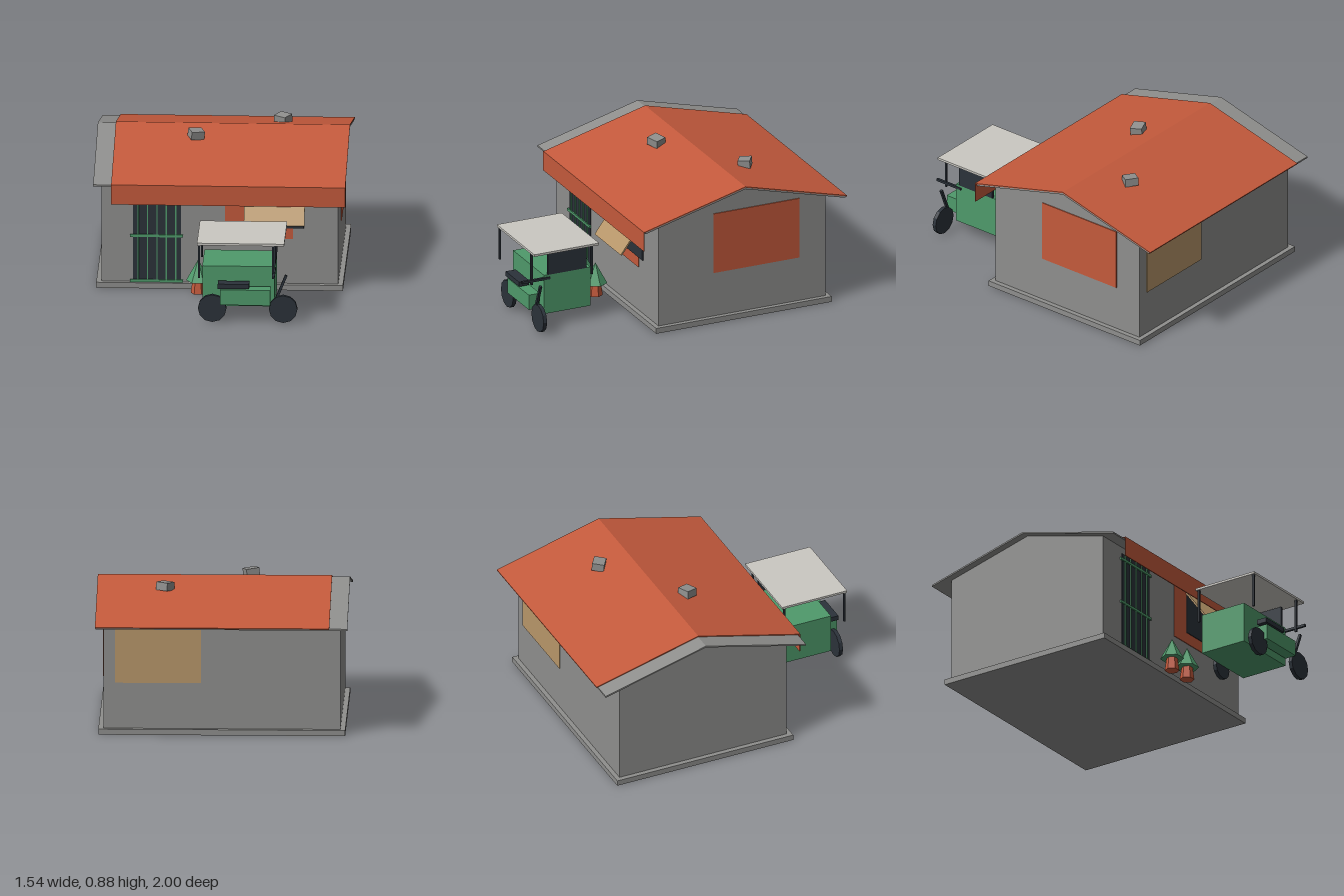
import * as THREE from 'three';

const mat = (name, color) => {
  const m = new THREE.MeshStandardMaterial({ color });
  m.name = name;
  return m;
};

export function createModel() {
  const root = new THREE.Group();
  root.name = 'houseWithCart';
  const grey = mat('concreteGrey', 0x8f8f8d);
  const red = mat('terracottaRed', 0xc45a3c);
  const green = mat('leafGreen', 0x4f9a6b);
  const dark = mat('darkSlate', 0x2b323a);
  const tan = mat('woodTan', 0xb8976a);
  const pale = mat('paleCanvas', 0xcac8c2);

  const add = (parent, name, geo, material) => {
    const mesh = new THREE.Mesh(geo, material);
    mesh.name = name;
    parent.add(mesh);
    return mesh;
  };
  // Box given by its extents on each axis
  const box = (parent, name, material, [x0, x1], [y0, y1], [z0, z1]) => {
    const mesh = add(parent, name, new THREE.BoxGeometry(x1 - x0, y1 - y0, z1 - z0), material);
    mesh.position.set((x0 + x1) / 2, (y0 + y1) / 2, (z0 + z1) / 2);
    return mesh;
  };
  // Outline of [z, y] points swept along x
  const sweepX = (parent, name, material, pts, x0, x1) => {
    const shape = new THREE.Shape(pts.map(([z, y]) => new THREE.Vector2(-z, y)));
    const geo = new THREE.ExtrudeGeometry(shape, { depth: x1 - x0, bevelEnabled: false });
    geo.rotateY(Math.PI / 2).translate(x0, 0, 0);
    return add(parent, name, geo, material);
  };
  // Faceted cylinder
  const facet = (rTop, rBottom, h, sides) => {
    const geo = new THREE.CylinderGeometry(rTop, rBottom, h, sides).toNonIndexed();
    geo.computeVertexNormals();
    return geo;
  };

  // House shell
  const house = new THREE.Group();
  house.name = 'house';
  root.add(house);
  box(house, 'plinth', grey, [-0.755, 0.75], [0, 0.035], [-0.905, 0.28]);
  sweepX(house, 'walls', grey,
    [[0.25, 0.035], [0.25, 0.704], [-0.313, 0.852], [-0.876, 0.704], [-0.876, 0.035]], -0.725, 0.72);

  // Roof: a slab with a red covering that leaves one end bare
  const roof = (name, material, z0, z1, ridge, eave, t, x0, x1) =>
    sweepX(house, name, material,
      [[z1, eave], [-0.315, ridge], [z0, eave], [z0, eave - t], [-0.315, ridge - t], [z1, eave - t]], x0, x1);
  roof('roofSlab', grey, -0.99, 0.358, 0.864, 0.687, 0.01, -0.77, 0.766);
  roof('roofCovering', red, -1, 0.37, 0.871, 0.691, 0.006, -0.66, 0.768);
  box(house, 'fascia', red, [-0.66, 0.768], [0.566, 0.692], [0.366, 0.372]);

  // Loose blocks on the roof
  [[-0.163, 0.853, -0.155, 0.35, -0.12], [0.352, 0.842, -0.508, -0.6, 0.05]].forEach(([x, y, z, yaw, roll]) => {
    const block = add(house, 'roofBlock', new THREE.BoxGeometry(0.083, 0.05, 0.075), grey);
    block.position.set(x, y, z);
    block.rotation.set(0.1, yaw, roll);
  });

  // Painted wall panels
  box(house, 'sidePanel', red, [0.72, 0.726], [0.32, 0.71], [-0.7, -0.12]);
  box(house, 'backPanel', tan, [0.125, 0.65], [0.32, 0.7], [-0.882, -0.876]);
  box(house, 'frontPanel', red, [0.03, 0.445], [0.32, 0.66], [0.25, 0.255]);

  // Shop window and propped awning
  box(house, 'windowOpening', dark, [0.16, 0.51], [0.39, 0.66], [0.25, 0.26]);
  sweepX(house, 'awning', tan,
    [[0.256, 0.664], [0.25, 0.656], [0.402, 0.45], [0.41, 0.456]], 0.15, 0.52);

  // Barred door
  box(house, 'door', dark, [-0.53, -0.24], [0.04, 0.66], [0.25, 0.256]);
  for (let i = 0; i < 5; i++) {
    const x = -0.5 + i * 0.0575;
    box(house, 'doorBar', green, [x - 0.004, x + 0.004], [0.045, 0.655], [0.256, 0.263]);
  }
  [0.043, 0.332, 0.62].forEach(y =>
    box(house, 'doorRail', green, [-0.548, -0.227], [y - 0.008, y + 0.008], [0.254, 0.264]));

  // Potted shrubs
  [-0.13, 0.03].forEach(x => {
    const plant = new THREE.Group();
    plant.name = 'pottedShrub';
    plant.position.set(x, 0, 0.348);
    root.add(plant);
    add(plant, 'pot', facet(0.033, 0.045, 0.09, 6), red).position.y = 0.045;
    add(plant, 'foliage', facet(0, 0.073, 0.132, 6), green).position.y = 0.146;
    plant.rotation.y = Math.PI / 6;
  });

  // Three-wheeled cart
  const cart = new THREE.Group();
  cart.name = 'cart';
  root.add(cart);
  box(cart, 'body', green, [-0.083, 0.358], [0.085, 0.34], [0.537, 0.85]);
  box(cart, 'frontBox', green, [0.03, 0.335], [0.12, 0.217], [0.868, 0.942]);
  box(cart, 'bench', dark, [0.015, 0.206], [0.225, 0.255], [0.878, 0.946]);
  box(cart, 'endScreen', dark, [0.346, 0.362], [0.34, 0.485], [0.565, 0.825]);
  box(cart, 'canopy', pale, [-0.112, 0.42], [0.502, 0.516], [0.508, 0.945]);
  for (const x of [-0.1, 0.352])
    for (const z of [0.527, 0.932])
      box(cart, 'canopyPost', dark, [x - 0.006, x + 0.006], [0.29, 0.503], [z - 0.006, z + 0.006]);

  // Wheels turn about z
  [[-0.02, 0.087, 0.908], [0.413, 0.087, 0.908], [0.143, 0.07, 0.523]].forEach(([x, r, z]) => {
    const wheel = add(cart, 'wheel', facet(r, r, 0.024, 12), dark);
    wheel.rotation.x = Math.PI / 2;
    wheel.position.set(x, r + 0.003, z);
  });

  // Steering fork and handlebar
  const fork = add(cart, 'fork', new THREE.BoxGeometry(0.016, 0.19, 0.016), dark);
  fork.position.set(0.396, 0.217, 0.908);
  fork.rotation.z = -0.38;
  box(cart, 'handlebar', dark, [0.348, 0.364], [0.31, 0.325], [0.81, 1]);

  return root;
}
